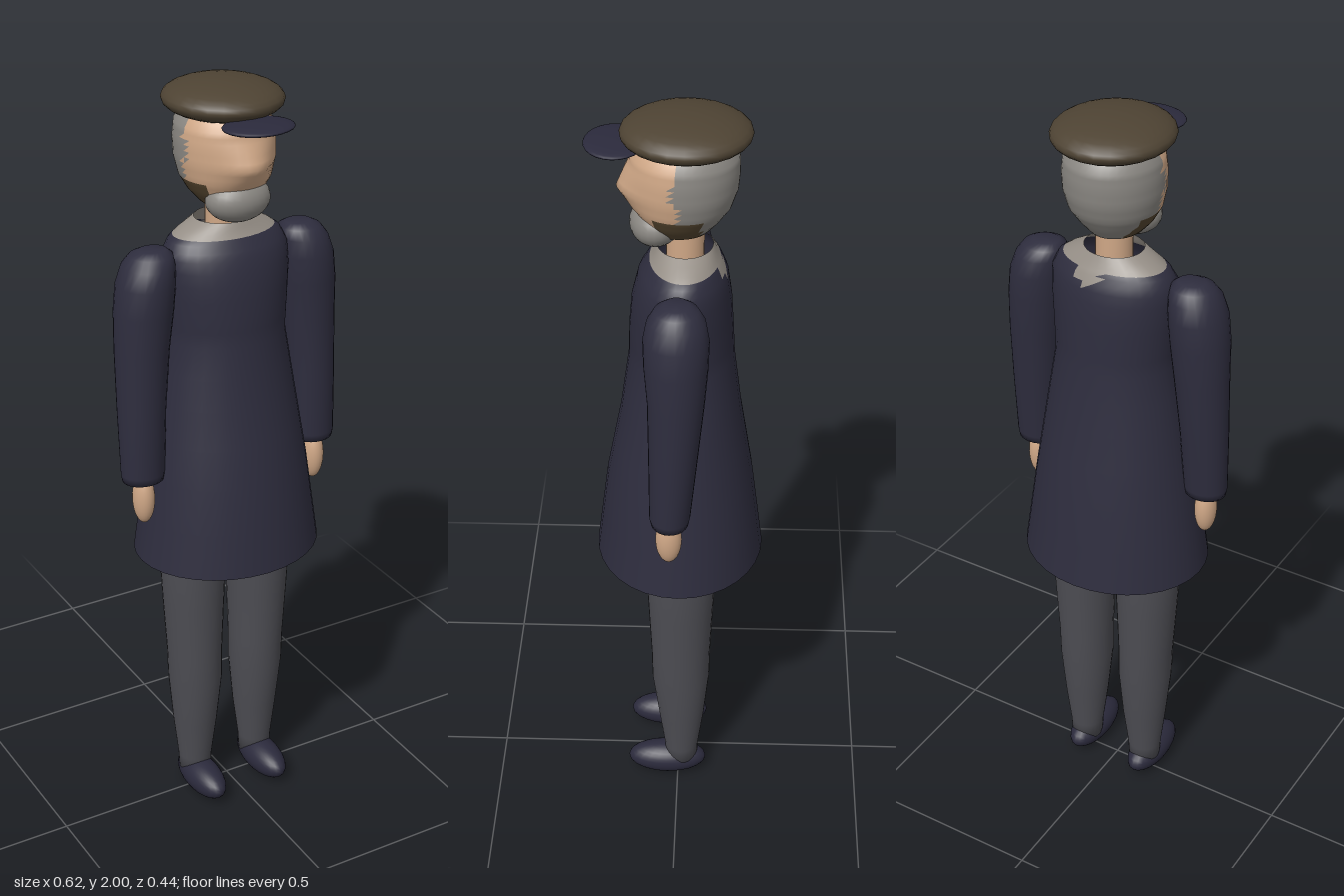
import * as THREE from 'three';

const mat = (name, color, side = THREE.FrontSide) => {
  const m = new THREE.MeshStandardMaterial({ color, side });
  m.name = name;
  return m;
};

// Smooth tube through elliptical rings [y, cx, cz, rx, rz].
// bump(y, a) adds depth; pick(x, y, z) chooses the material slot of each face.
function loft(rings, { sides = 24, capLow = false, capHigh = false, steps = 1, bump, pick } = {}) {
  const rows = [];
  const curves = rings[0].map((_, k) => rings.map((r) => r[k]));
  const n = (rings.length - 1) * steps;
  for (let i = 0; i <= n; i++) {
    const s = Math.min(Math.floor(i / steps), rings.length - 2), t = i / steps - s;
    rows.push(curves.map((c) => c[s] + (c[s + 1] - c[s]) * t));
  }
  const pos = [], slots = [[], [], []];
  rows.forEach(([y, cx, cz, rx, rz]) => {
    for (let j = 0; j < sides; j++) {
      const a = (j / sides) * Math.PI * 2;
      pos.push(cx + rx * Math.sin(a), y, cz + rz * Math.cos(a) + (bump ? bump(y, a) : 0));
    }
  });
  const tri = (...v) => {
    const mid = [0, 1, 2].map((k) => (pos[v[0] * 3 + k] + pos[v[1] * 3 + k] + pos[v[2] * 3 + k]) / 3);
    slots[pick ? pick(...mid) : 0].push(...v);
  };
  for (let i = 0; i < rows.length - 1; i++) {
    for (let j = 0; j < sides; j++) {
      const a = i * sides + j, b = i * sides + ((j + 1) % sides);
      tri(a, b, b + sides);
      tri(a, b + sides, a + sides);
    }
  }
  const cap = (row, up) => {
    const c = pos.length / 3, [y, cx, cz] = rows[row];
    pos.push(cx, y, cz);
    for (let j = 0; j < sides; j++) {
      const a = row * sides + j, b = row * sides + ((j + 1) % sides);
      if (up) tri(c, a, b); else tri(c, b, a);
    }
  };
  if (capLow) cap(0, false);
  if (capHigh) cap(rows.length - 1, true);
  const g = new THREE.BufferGeometry();
  g.setAttribute('position', new THREE.Float32BufferAttribute(pos, 3));
  g.setIndex(slots.flat());
  let start = 0;
  slots.forEach((s, k) => {
    if (s.length) g.addGroup(start, s.length, k);
    start += s.length;
  });
  g.computeVertexNormals();
  return g;
}

export function createModel() {
  const navy = mat('navy cloth', 0x2e2d3e, THREE.DoubleSide);
  const grey = mat('trouser grey', 0x4d4d53);
  const skin = mat('skin', 0xcfa786);
  const hair = mat('grey hair', 0x8a8782);
  const stubble = mat('dark whiskers', 0x54452f);
  const collar = mat('pale collar', 0x958e86, THREE.DoubleSide);
  const felt = mat('brown felt', 0x4e4333);
  const leather = mat('dark leather', 0x2b2a3c);

  const model = new THREE.Group();
  const add = (name, geo, material) => {
    const m = new THREE.Mesh(geo, Array.isArray(material) ? material : [material, material, material]);
    if (!Array.isArray(material)) m.material = material;
    m.name = name;
    model.add(m);
    return m;
  };
  const ellipsoid = (name, material, [x, y, z], [rx, ry, rz]) =>
    add(name, new THREE.SphereGeometry(1, 24, 16).scale(rx, ry, rz).translate(x, y, z), material);

  // Flared coat, open at the hem and neck, with a collar that dips at the back
  add('coat', loft([
    [0.76, 0, -0.003, 0.25, 0.217], [1.0, 0, -0.003, 0.216, 0.187], [1.2, 0, -0.006, 0.184, 0.152],
    [1.36, 0, -0.007, 0.157, 0.131], [1.44, 0, -0.006, 0.162, 0.128], [1.52, 0, -0.007, 0.168, 0.122],
    [1.58, 0, -0.01, 0.167, 0.11], [1.615, 0, -0.013, 0.15, 0.092], [1.635, 0, -0.015, 0.122, 0.079],
    [1.66, 0, -0.015, 0.075, 0.067],
  ], {
    sides: 32, steps: 2,
    pick: (x, y, z) => (y > 1.625 || (y > 1.59 && z < -0.08 && Math.abs(x - 0.02) < 0.03) ? 1 : 0),
  }), [navy, collar]);

  // Neck
  add('neck', loft([[1.56, 0, -0.015, 0.046, 0.046], [1.78, 0, -0.015, 0.046, 0.046]]), skin);

  // Head with a wedge-shaped nose, hair behind and whiskers along the jaw
  const nose = (y, a) => {
    const front = Math.max(0, Math.cos(a)) ** 7;
    const rise = y > 1.815 ? 1 - (y - 1.815) / 0.07 : 1 - (1.815 - y) / 0.06;
    return 0.03 * front * Math.max(0, rise);
  };
  add('head', loft([
    [1.69, 0, 0.0, 0.035, 0.04], [1.705, 0, 0.0, 0.065, 0.075], [1.735, 0, -0.004, 0.092, 0.096],
    [1.77, 0, -0.008, 0.112, 0.117], [1.815, 0, -0.011, 0.122, 0.129], [1.86, 0, -0.013, 0.123, 0.131],
    [1.9, 0, -0.014, 0.118, 0.128], [1.95, 0, -0.015, 0.085, 0.09],
  ], {
    sides: 40, steps: 3, capLow: true, capHigh: true, bump: nose,
    pick: (x, y, z) => {
      if (y < 1.775 && z > -0.055 && z < 0.055 && Math.abs(x) > 0.05) return 2;
      return z < (y > 1.82 && y < 1.87 ? 0.02 : 0) ? 1 : 0;
    },
  }), [skin, hair, stubble]);
  ellipsoid('beard', hair, [0, 1.722, 0.055], [0.084, 0.057, 0.063]);

  // Cap and visor
  ellipsoid('cap', felt, [0, 1.953, -0.017], [0.147, 0.047, 0.156]);
  ellipsoid('capVisor', leather, [0, 1.924, 0.15], [0.09, 0.012, 0.073]);

  // Limbs, mirrored by side
  for (const [side, s] of [['left', 1], ['right', -1]]) {
    const rings = (list) => list.map(([y, x, ...r]) => [y, x * s, ...r]);
    add(side + 'Sleeve', loft(rings([
      [1.01, 0.251, 0.015, 0.054, 0.047], [1.03, 0.251, 0.015, 0.057, 0.051], [1.2, 0.247, 0.007, 0.062, 0.06],
      [1.36, 0.239, 0, 0.069, 0.069], [1.46, 0.232, 0, 0.074, 0.077], [1.53, 0.225, 0, 0.073, 0.079],
      [1.575, 0.217, 0, 0.065, 0.07], [1.6, 0.209, 0, 0.054, 0.053], [1.612, 0.205, 0, 0.035, 0.03],
    ]), { capLow: true, capHigh: true }), navy);
    ellipsoid(side + 'Hand', skin, [0.252 * s, 0.957, 0.018], [0.028, 0.07, 0.033]);
    add(side + 'Leg', loft(rings([
      [0.05, 0.095, -0.01, 0.043, 0.044], [0.1, 0.095, -0.01, 0.046, 0.046], [0.22, 0.094, -0.01, 0.06, 0.062],
      [0.36, 0.094, -0.008, 0.072, 0.078], [0.44, 0.095, -0.008, 0.073, 0.079], [0.6, 0.097, -0.008, 0.081, 0.086],
      [0.76, 0.098, -0.008, 0.088, 0.093], [0.95, 0.09, -0.008, 0.085, 0.09],
    ]), { capLow: true, capHigh: true }), grey);
    ellipsoid(side + 'Shoe', leather, [0.096 * s, 0.046, 0.03], [0.048, 0.046, 0.108]);
  }
  return model;
}
